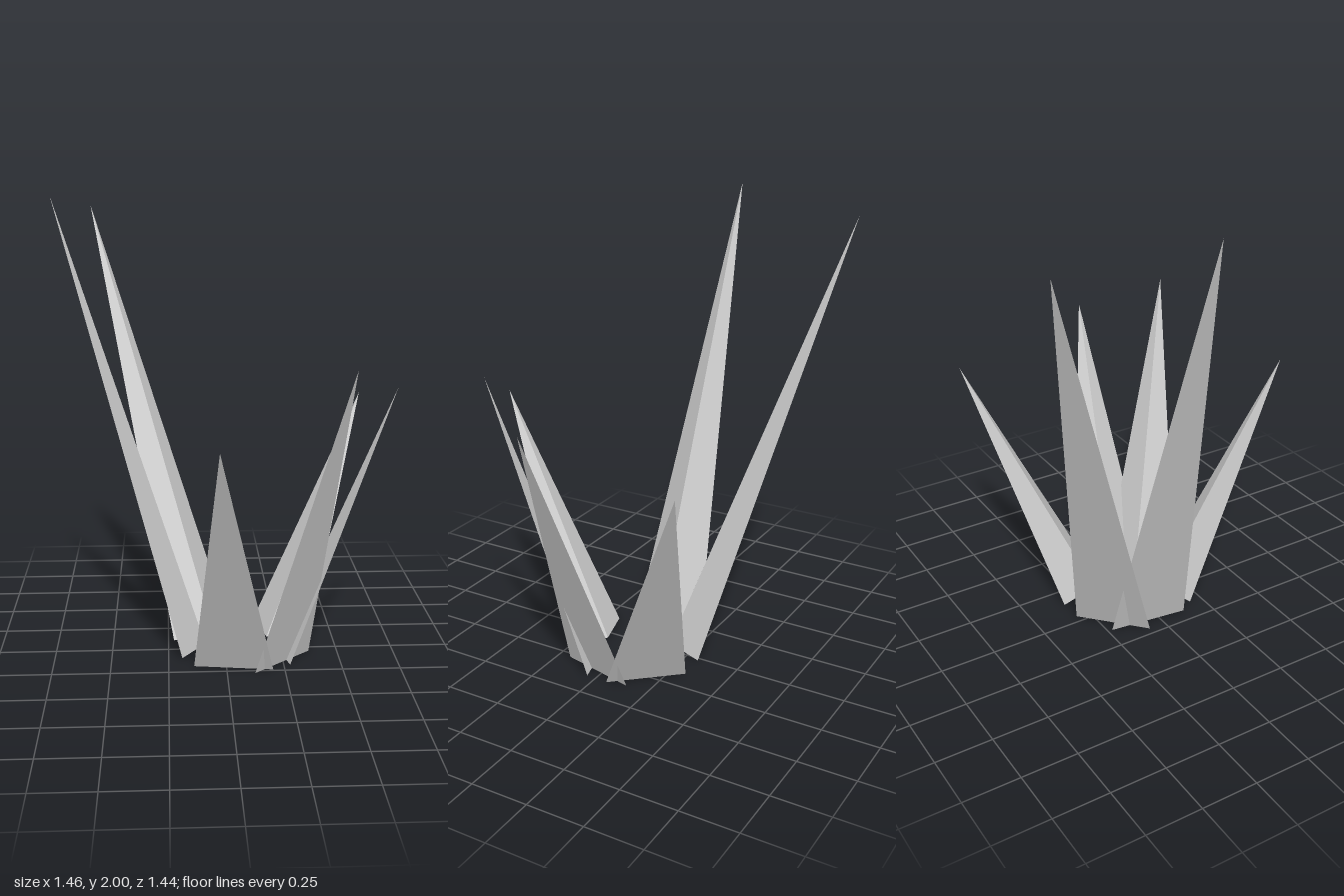
import * as THREE from 'three';

// Each blade: tip [x, y, z], then base corners [x, z]: outer pair
// (counter-clockwise round the clump) and the inner ridge corner.
const BLADES = [
  { name: 'backRightBlade', tip: [-0.595, 1.93, -0.72], base: [[0.03, -0.32], [-0.225, -0.085], [-0.04, -0.14]] },
  { name: 'rightBlade', tip: [-0.73, 2.0, -0.11], base: [[-0.145, -0.235], [-0.19, 0.12], [-0.085, -0.04]] },
  { name: 'frontBlade', tip: [-0.05, 1.08, 0.72], base: [[-0.14, 0.19], [0.2, 0.24], [0.045, 0.14]] },
  { name: 'frontLeftBlade', tip: [0.51, 1.34, 0.43], base: [[0.12, 0.275], [0.374, 0.043], [0.19, 0.09]] },
  { name: 'leftBlade', tip: [0.73, 1.21, 0.115], base: [[0.278, 0.194], [0.36, -0.147], [0.235, 0.01]] },
  { name: 'backLeftBlade', tip: [0.665, 1.06, -0.54], base: [[0.38, -0.057], [0.145, -0.32], [0.2, -0.13]] },
];

// A leaning three-sided spike with a flat, closed base
function bladeGeometry(tip, base, y) {
  const corners = base.map(([x, z]) => [x, y, z]);
  const points = [];
  for (let i = 0; i < 3; i++) {
    points.push(...corners[i], ...corners[(i + 1) % 3], ...tip);
  }
  points.push(...corners[0], ...corners[2], ...corners[1]);
  const geometry = new THREE.BufferGeometry();
  geometry.setAttribute('position', new THREE.Float32BufferAttribute(points, 3));
  geometry.computeVertexNormals();
  return geometry;
}

export function createModel() {
  const group = new THREE.Group();
  group.name = 'grassClump';
  const grey = new THREE.MeshStandardMaterial({ color: 0xc8c8c8, flatShading: true });
  grey.name = 'lightGrey';

  BLADES.forEach(({ name, tip, base }, i) => {
    // The two tall blades sit very slightly higher
    const blade = new THREE.Mesh(bladeGeometry(tip, base, i < 2 ? 0.008 : 0), grey);
    blade.name = name;
    group.add(blade);
  });
  return group;
}
